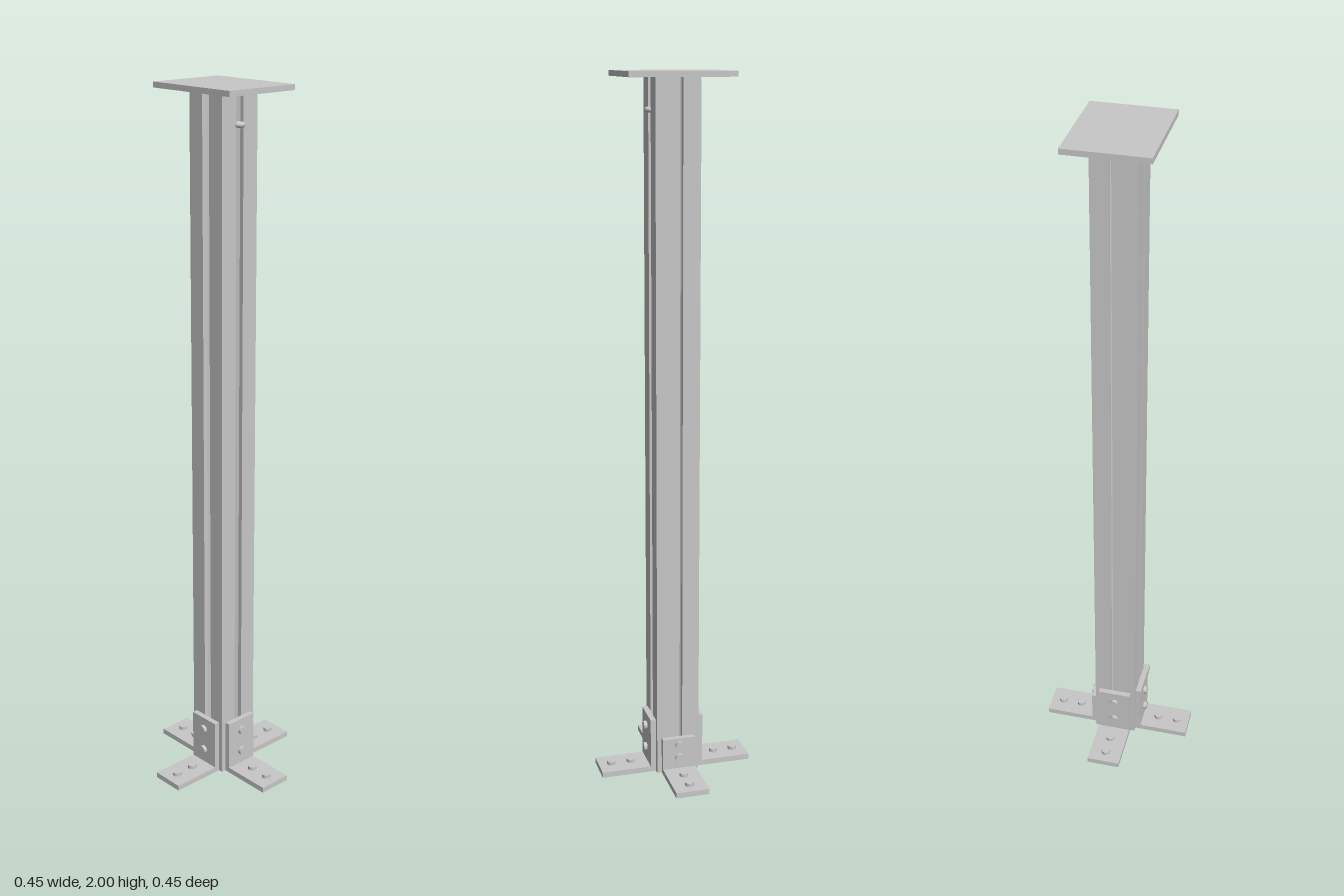
import * as THREE from 'three';

export function createModel() {
  const model = new THREE.Group();
  const steel = new THREE.MeshStandardMaterial({ color: 0xc8c8c8 });
  steel.name = 'light grey metal';

  function add(parent, name, geometry, x = 0, y = 0, z = 0) {
    const mesh = new THREE.Mesh(geometry, steel);
    mesh.name = name;
    mesh.position.set(x, y, z);
    parent.add(mesh);
    return mesh;
  }

  // Slotted square column: one side profile turned four times
  const h = 0.0625, slot = 0.013, lip = 0.05, cavity = 0.032, t = 0.016;
  const side = [
    [h, -h], [h, -slot], [lip, -slot], [lip, -cavity], [0.028, -0.015],
    [0.028, 0.015], [lip, cavity], [lip, slot], [h, slot],
  ];
  const outline = [];
  for (let i = 0; i < 4; i++) {
    for (const [x, y] of side) {
      outline.push(new THREE.Vector2(x, y).rotateAround(new THREE.Vector2(), i * Math.PI / 2));
    }
  }
  const columnGeometry = new THREE.ExtrudeGeometry(new THREE.Shape(outline), { depth: 1.986 - t, bevelEnabled: false });
  columnGeometry.rotateX(-Math.PI / 2);
  add(model, 'column', columnGeometry, 0, t, 0);

  // Closed foot of the column and top plate
  add(model, 'columnFoot', new THREE.BoxGeometry(2 * h, t, 2 * h), 0, t / 2, 0);
  add(model, 'topPlate', new THREE.BoxGeometry(0.292, 0.015, 0.228), 0, 1.9925, 0);

  // Angle brackets with bolts, one on each side of the column; the back one is shorter
  const reach = 0.2235, width = 0.098;
  const boltGeometry = new THREE.CylinderGeometry(0.0125, 0.0125, 0.01, 24);
  function bracket(name, angle, height, boltHeights) {
    const group = new THREE.Group();
    group.name = name;
    const profile = new THREE.Shape([
      [h, 0], [reach, 0], [reach, t], [h + t, t], [h + t, height], [h, height],
    ].map(([x, y]) => new THREE.Vector2(x, y)));
    const angleGeometry = new THREE.ExtrudeGeometry(profile, { depth: width, bevelEnabled: false });
    add(group, 'anglePlate', angleGeometry, 0, 0, -width / 2);
    for (const x of [0.127, 0.186]) add(group, 'footBolt', boltGeometry, x, t + 0.005, 0);
    for (const y of boltHeights) {
      add(group, 'columnBolt', boltGeometry, h + t + 0.005, y, 0).rotation.z = -Math.PI / 2;
    }
    group.rotation.y = angle;
    model.add(group);
  }
  bracket('leftBracket', 0, 0.163, [0.058, 0.127]);
  bracket('backBracket', Math.PI / 2, 0.11, [0.05, 0.09]);
  bracket('rightBracket', Math.PI, 0.163, [0.058, 0.127]);
  bracket('frontBracket', -Math.PI / 2, 0.163, [0.058, 0.127]);

  // Small eyelet near the top of the left side
  const eyelet = new THREE.TorusGeometry(0.01, 0.007, 12, 24);
  eyelet.rotateX(Math.PI / 2);
  add(model, 'eyelet', eyelet, 0.06, 1.9, 0);

  return model;
}
